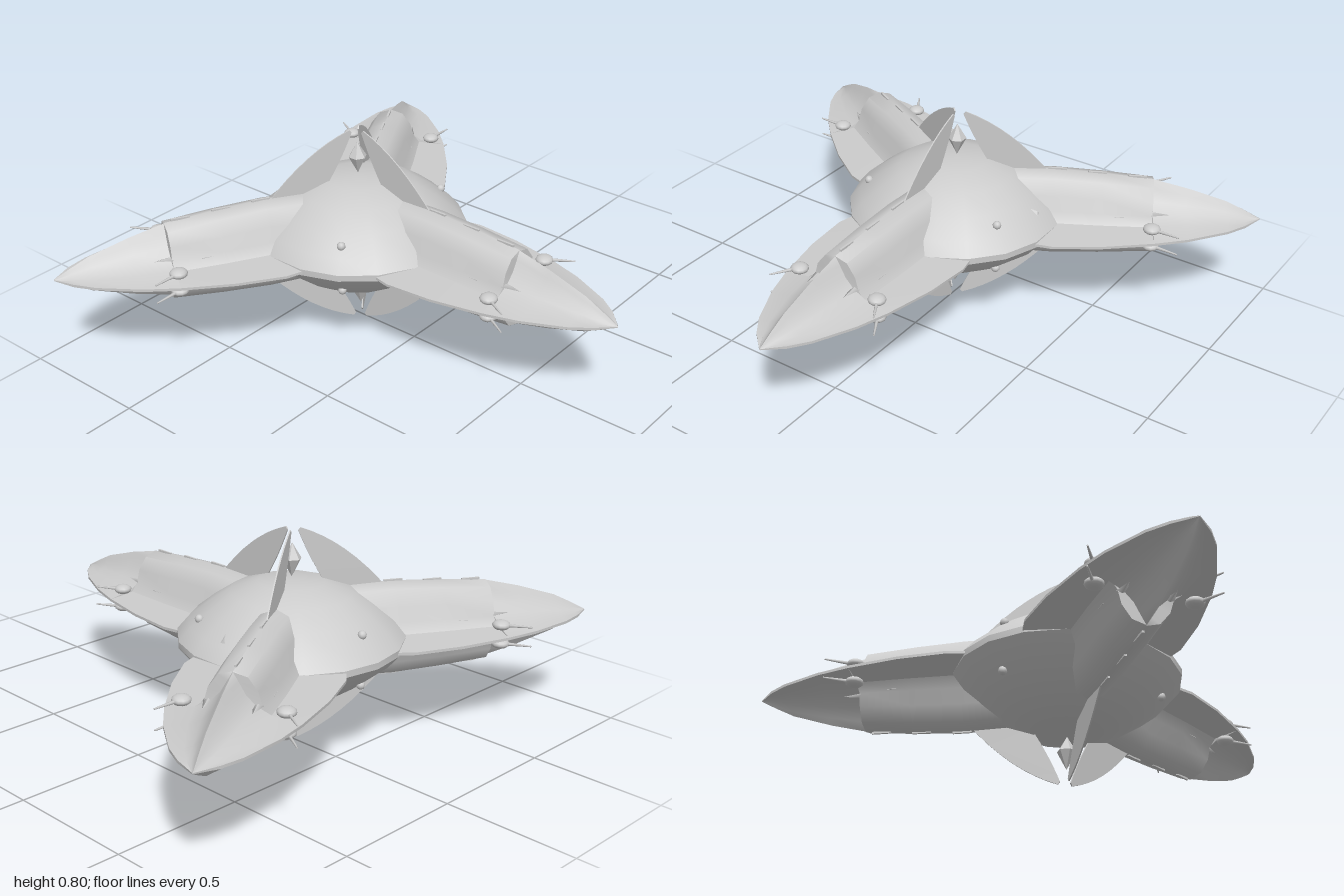
import * as THREE from 'three';
import { toCreasedNormals } from 'three/addons/utils/BufferGeometryUtils.js';
import { ConvexGeometry } from 'three/addons/geometries/ConvexGeometry.js';

const grey = new THREE.MeshStandardMaterial({ color: 0xcccccc, side: THREE.DoubleSide });
const faceted = new THREE.MeshStandardMaterial({ color: 0xcccccc, flatShading: true });

function add(parent, name, geometry, material = grey, x = 0, y = 0, z = 0) {
  const mesh = new THREE.Mesh(geometry, material);
  mesh.name = name;
  mesh.position.set(x, y, z);
  parent.add(mesh);
  return mesh;
}

// Thin rod between two points
function rod(parent, name, a, b, radius) {
  const dir = b.clone().sub(a);
  const mesh = add(parent, name, new THREE.CylinderGeometry(radius * 0.4, radius, dir.length(), 6));
  mesh.position.copy(a).addScaledVector(dir, 0.5);
  mesh.quaternion.setFromUnitVectors(new THREE.Vector3(0, 1, 0), dir.normalize());
}

// Half cross-sections of the spine: x in spine widths, y in ridge heights
const arch = [[1.25, 0.07], [1, 0.28], [0.86, 0.6], [0.5, 0.9], [0, 1]];
const beak = [[1.25, 0.13], [0.75, 0.3], [0.42, 0.52], [0.18, 0.8], [0, 1]];

// Stations along an arm: distance, plate half-width, ridge height, spine half-width, section
const stations = [
  [0.08, 0.22, 0.17, 0.1, arch], [0.37, 0.28, 0.178, 0.1, arch], [0.55, 0.265, 0.168, 0.1, arch],
  [0.74, 0.225, 0.152, 0.095, arch], [0.742, 0.225, 0.15, 0.1, beak], [0.87, 0.185, 0.118, 0.085, beak],
  [1.02, 0.115, 0.07, 0.055, beak], [1.09, 0.065, 0.035, 0.03, beak], [1.15, 0.002, 0.002, 0.001, beak],
];

// Arm hull: a thin leaf-shaped plate with a ridge above and below
function armHull() {
  const pos = [], index = [];
  for (const [r, w, h, s, section] of stations) {
    const right = [[w, Math.min(0.005, h)], ...section.map(([x, y]) => [x * s, y * h])];
    const upper = [...right, ...right.slice(0, -1).reverse().map(([x, y]) => [-x, y])];
    const loop = [...upper, ...upper.map(([x, y]) => [-x, -y])];
    for (const [x, y] of loop) pos.push(x, y, r);
  }
  const n = pos.length / 3 / stations.length;
  for (let i = 0; i < stations.length - 1; i++) {
    for (let j = 0; j < n; j++) {
      const a = i * n + j, b = i * n + (j + 1) % n;
      index.push(a, b, b + n, a, b + n, a + n);
    }
  }
  const g = new THREE.BufferGeometry();
  g.setAttribute('position', new THREE.Float32BufferAttribute(pos, 3));
  g.setIndex(index);
  return toCreasedNormals(g, 0.75);
}

// Curved blade rising from the hub, drawn in the plane of an arm
function bladeGeometry() {
  const s = new THREE.Shape();
  s.moveTo(0.36, 0.15);
  s.quadraticCurveTo(0.2, 0.34, 0.03, 0.4);
  s.lineTo(0.022, 0.39);
  s.quadraticCurveTo(0.07, 0.27, 0.15, 0.15);
  const g = new THREE.ExtrudeGeometry(s, { depth: 0.005, bevelEnabled: false, curveSegments: 8 });
  return g.translate(0, 0, -0.0025).rotateY(-Math.PI / 2);
}

export function createModel() {
  const model = new THREE.Group();
  const body = new THREE.Group();
  body.name = 'body';
  body.position.set(0, 0.4, -0.27);
  model.add(body);

  // Central dome, same above and below
  const half = [[0.41, 0.012], [0.37, 0.06], [0.3, 0.117], [0.22, 0.172], [0.12, 0.207], [0, 0.212]];
  const profile = [...half.map(([x, y]) => [x, -y]).reverse(), ...half];
  const dome = new THREE.LatheGeometry(profile.map(([x, y]) => new THREE.Vector2(x, y)), 18);
  add(body, 'hub', toCreasedNormals(dome, 0.6));

  // Angular bay on the left flank of the hub
  const bay = [[0.2, 0.15, 0.08], [0.35, 0.08, -0.02], [0.22, -0.04, 0.32], [0.31, -0.05, 0.21],
    [0.37, -0.015, -0.1], [0.39, -0.015, 0.06], [0.15, 0, 0.05]];
  add(body, 'flankBay', new ConvexGeometry(bay.map(p => new THREE.Vector3(...p))), faceted);

  const hull = armHull();
  const blade = bladeGeometry();
  const pod = new THREE.SphereGeometry(0.033, 12, 8).scale(1, 0.55, 1);
  const barb = new THREE.ConeGeometry(0.018, 0.07, 4).rotateX(Math.PI / 2).scale(1, 0.5, 1);
  const slot = new THREE.BoxGeometry(0.008, 0.008, 0.07);
  const knob = new THREE.SphereGeometry(0.016, 10, 8);

  for (let k = 0; k < 3; k++) {
    const arm = new THREE.Group();
    arm.name = 'arm' + (k + 1);
    arm.rotation.y = k * Math.PI * 2 / 3;
    body.add(arm);
    add(arm, 'armHull', hull);

    for (const up of [1, -1]) {
      add(arm, 'blade', blade).rotation.z = up > 0 ? 0 : Math.PI;
      add(arm, 'hubKnob', knob, grey, 0, up * 0.092, -0.335);
      // Slots along the ridge
      for (const r of [0.38, 0.53, 0.68]) add(arm, 'ridgeSlot', slot, grey, 0, up * (0.202 - r * 0.063), r);
      for (const side of [1, -1]) {
        // Gun pods with their barrels
        add(arm, 'pod', pod, grey, side * 0.17, up * 0.035, 0.735);
        rod(arm, 'podBarrel', new THREE.Vector3(side * 0.175, up * 0.035, 0.74),
          new THREE.Vector3(side * 0.227, up * 0.036, 0.83), 0.007);
        add(arm, 'barb', barb, grey, side * 0.08, up * 0.045, 0.77);
        add(arm, 'sideSlot', slot, grey, side * 0.1, up * 0.035, 0.6);
      }
    }
  }

  // Floating crystals over and under the hub
  for (const up of [1, -1]) {
    const pts = [[0, -0.063], [0.035, 0.005], [0.022, 0.026], [0, 0.063]].map(p => new THREE.Vector2(...p));
    add(body, 'crystal', new THREE.LatheGeometry(pts, 6), faceted, 0, up * 0.285, 0);
  }
  return model;
}
